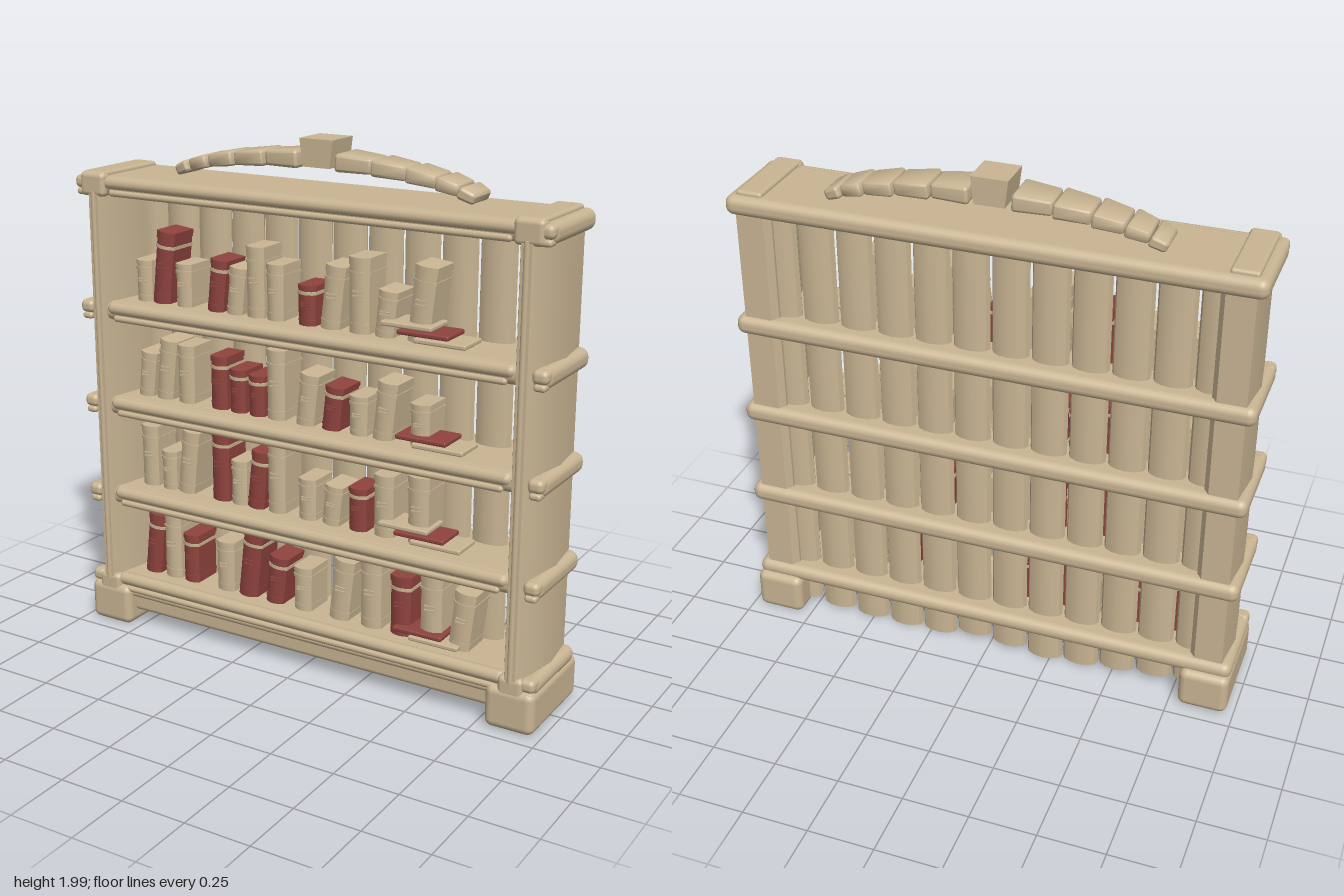
import * as THREE from 'three';
import { toCreasedNormals } from 'three/addons/utils/BufferGeometryUtils.js';
import { RoundedBoxGeometry } from 'three/addons/geometries/RoundedBoxGeometry.js';

const wood = new THREE.MeshStandardMaterial({ color: 0xc9b593 });
wood.name = 'paleWood';
const red = new THREE.MeshStandardMaterial({ color: 0x8f433e });
red.name = 'redCover';

// Upright prism from a shape drawn in x and -z, base at y = 0
function prism(shape, h) {
  const g = new THREE.ExtrudeGeometry(shape, { depth: h, bevelEnabled: false, curveSegments: 6 });
  g.rotateX(-Math.PI / 2);
  return toCreasedNormals(g, 0.6);
}

function add(parent, name, geometry, x, y, z, material = wood) {
  const mesh = new THREE.Mesh(geometry, material);
  mesh.name = name;
  mesh.position.set(x, y, z);
  parent.add(mesh);
  return mesh;
}

const slab = (w, h, d, r) => new RoundedBoxGeometry(w, h, d, 3, r);
const bar = (len, r) => new THREE.CapsuleGeometry(r, len - 2 * r, 4, 12).rotateZ(Math.PI / 2);

// Unit book with a rounded spine facing +z
const bookShape = new THREE.Shape();
bookShape.moveTo(0.5, 0.5);
bookShape.lineTo(0.5, -0.38);
bookShape.quadraticCurveTo(0, -0.62, -0.5, -0.38);
bookShape.lineTo(-0.5, 0.5);
const bookGeo = prism(bookShape, 1);

function addBook(parent, x, y, w, h, lean, cover) {
  const book = new THREE.Group();
  book.name = 'book';
  const part = (name, at, ph, grow, material) =>
    add(book, name, bookGeo, 0, at, 0, material).scale.set(w + grow, ph, 0.13 + grow);
  part('cover', 0, h, 0, cover);
  part('headCap', h * 0.9, h * 0.1, 0.005, cover);
  part('upperBand', h * 0.77, 0.012, 0.006, wood);
  part('lowerBand', h * 0.12, 0.007, 0.003, cover);
  for (const k of [0.5, 0.56])
    add(book, 'spineLabel', new THREE.BoxGeometry(w * 0.5, 0.006, 0.006), 0, h * k, 0.066, cover);
  book.position.set(x - Math.sin(lean) * h / 2, y, 0.035);
  book.rotation.z = -lean;
  parent.add(book);
}

// Groups of standing books along a shelf: first x, spacing, count
const upperRuns = [[-0.735, 0.092, 3], [-0.4, 0.085, 4], [-0.01, 0.108, 4], [0.455, 0.12, 1]];
const lowerRuns = [[-0.725, 0.088, 3], [-0.385, 0.118, 4], [0.14, 0.125, 5]];

// Per shelf: book heights, then which books are red and which lean
const rows = [
  { y: 1.34, runs: upperRuns, lying: 3, reds: [1, 3, 7], leaning: [1, 3, 4, 8, 10, 11],
    heights: [.16, .28, .165, .2, .18, .265, .21, .15, .235, .275, .17, .275] },
  { y: 0.96, runs: upperRuns, lying: 2, reds: [3, 4, 5, 8], leaning: [0, 1, 7, 8, 10],
    heights: [.18, .24, .23, .21, .17, .16, .27, .2, .17, .15, .22, .16] },
  { y: 0.595, runs: upperRuns, lying: 3, reds: [3, 5, 9], leaning: [2, 5, 8],
    heights: [.245, .155, .255, .28, .175, .23, .28, .16, .155, .165, .235, .255] },
  { y: 0.22, runs: lowerRuns, lying: 2, reds: [0, 2, 4, 5, 10 - 1], leaning: [0, 4, 5, 7, 11],
    heights: [.255, .27, .2, .205, .28, .195, .175, .245, .27, .235, .265, .23] },
];

function addRow(model, { y, runs, lying, reds, leaning, heights }) {
  const group = new THREE.Group();
  group.name = 'bookRow';
  let i = 0;
  for (const [start, step, count] of runs)
    for (let k = 0; k < count; k++, i++) {
      const w = 0.032 + step * 0.25 + heights[i] * 0.08;
      addBook(group, start + k * step, y - 0.002, w, heights[i],
        leaning.includes(i) ? 0.11 : 0, reds.includes(i) ? red : wood);
    }
  // Lying books, the second one red
  for (let k = 0; k < lying; k++)
    add(group, 'lyingBook', slab(0.2, 0.018, 0.13, 0.006), 0.54 - k * 0.065, y + 0.014 + k * 0.023, 0.06,
      k === 1 ? red : wood);
  model.add(group);
}

export function createModel() {
  const model = new THREE.Group();
  model.name = 'bookcase';

  // Rounded back planks with narrow gaps and uneven lower ends
  const plank = new THREE.Shape().absellipse(0, 0.08, 0.0695, 0.038, 0, Math.PI * 2);
  for (let i = 0; i < 12; i++) {
    const bottom = 0.005 + 0.05 * Math.abs(Math.cos((i - 8) * 0.37));
    const y = i < 7 ? bottom : 0.06 - bottom * 0.9;
    add(model, 'backPlank', prism(plank, 1.77 - y), (i - 5.5) * 0.147, y, 0);
  }

  // Side walls, front rods, feet and corner ornaments
  const wall = [[.83, -.155], [.935, -.155], [.952, 0], [.93, .15], [.9, .195],
    [.86, .195], [.835, .14], [.812, .02], [.81, -.13]];
  for (const s of [-1, 1]) {
    const shape = new THREE.Shape(wall.map(([x, z]) => new THREE.Vector2(s * x, -z)));
    add(model, 'sideWall', prism(shape, 1.62), 0, 0.15, 0);
    add(model, 'frontRod', new THREE.CylinderGeometry(0.011, 0.011, 1.56, 10), s * 0.88, 0.98, 0.191);
    add(model, 'foot', slab(0.19, 0.165, 0.4, 0.03), s * 0.878, 0.0925, 0);
    add(model, 'footBracket', slab(0.1, 0.09, 0.05, 0.02), s * 0.88, 0.175, 0.172);
    add(model, 'topCorner', slab(0.11, 0.09, 0.05, 0.018), s * 0.885, 1.787, 0.172);
    add(model, 'topPad', slab(0.1, 0.03, 0.33, 0.012), s * 0.885, 1.82, 0.02);
  }

  // Shelves: wrapping band plus two beads along the front edge
  for (const y of [0.187, 0.553, 0.924, 1.302, 1.782]) {
    add(model, y > 1.7 ? 'topBoard' : 'shelf', slab(1.945, y < 0.2 ? 0.066 : 0.075, 0.352, 0.032), 0, y, 0);
    add(model, 'upperBead', bar(1.7, 0.025), 0, y + 0.012, 0.162);
    add(model, 'lowerBead', bar(1.64, 0.013), 0, y - 0.024, 0.172);
    for (const s of [-1, 1]) {
      add(model, 'bandEnd', slab(0.06, 0.05, 0.06, 0.02), s * 0.94, y + 0.01, 0.162);
      add(model, 'bandEndLower', slab(0.045, 0.026, 0.05, 0.012), s * 0.94, y - 0.026, 0.165);
    }
  }

  // Plinth under the bottom shelf
  add(model, 'plinth', slab(1.6, 0.09, 0.19, 0.02), 0, 0.11, 0.06);
  add(model, 'plinthBead', bar(1.6, 0.016), 0, 0.145, 0.158);

  // Arch on top: tapered blocks along an elliptical curve
  const arcY = x => 1.8 + 0.12 * Math.sqrt(1 - (x / 0.64) ** 2);
  const cuts = [0.615, 0.555, 0.47, 0.355, 0.22, 0.075];
  for (const s of [-1, 1]) {
    for (let i = 0; i < 5; i++) {
      const a = cuts[i], b = cuts[i + 1], ya = arcY(a), yb = arcY(b);
      const len = Math.hypot(a - b, yb - ya);
      const g = slab(len * 0.97, 0.042 + i * 0.0045, 0.14, 0.012);
      // each block swells towards the crown
      const p = g.attributes.position;
      for (let k = 0; k < p.count; k++) {
        const f = 1 - s * p.getX(k) / len * 0.2;
        p.setY(k, p.getY(k) * f);
        p.setZ(k, p.getZ(k) * f);
      }
      const block = add(model, 'archStone', toCreasedNormals(g, 0.7), s * (a + b) / 2, (ya + yb) / 2 + 0.005, -0.028);
      block.rotation.z = -s * Math.atan2(yb - ya, a - b);
    }
  }
  const key = new THREE.Shape();
  key.moveTo(-0.055, 0).lineTo(0.055, 0).lineTo(0.068, 0.1).lineTo(-0.068, 0.1);
  add(model, 'keystone', new THREE.ExtrudeGeometry(key, { depth: 0.14, bevelEnabled: false }), 0, 1.9, -0.1);

  for (const row of rows) addRow(model, row);
  return model;
}
